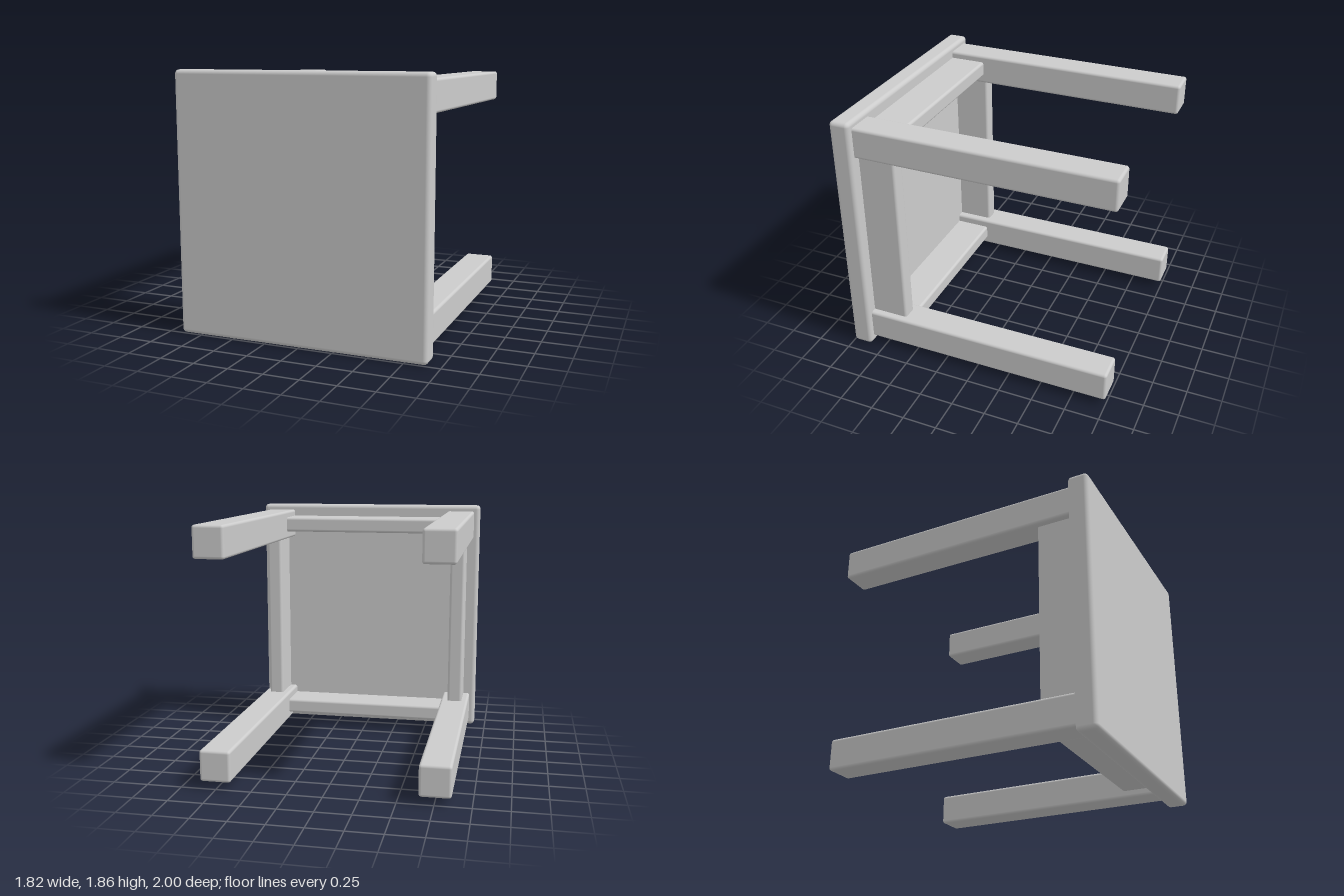
import * as THREE from 'three';
import { RoundedBoxGeometry } from 'three/addons/geometries/RoundedBoxGeometry.js';

const MID = 0.93; // height of the table's axis, which lies along z

export function createModel() {
  const model = new THREE.Group();
  const material = new THREE.MeshStandardMaterial({ color: 0xcccccc });

  // Soft-edged bar given by its extents, with y measured from the axis
  function bar(name, [x0, x1], [y0, y1], [z0, z1], radius) {
    const geometry = new RoundedBoxGeometry(x1 - x0, y1 - y0, z1 - z0, 4, radius);
    const mesh = new THREE.Mesh(geometry, material);
    mesh.name = name;
    mesh.position.set((x0 + x1) / 2, MID + (y0 + y1) / 2, (z0 + z1) / 2);
    model.add(mesh);
  }
  const mirrored = (side, a, b) => (side > 0 ? [a, b] : [-b, -a]);

  // Table top, standing on its edge and facing the front
  bar('tableTop', [-0.91, 0.91], [-0.93, 0.925], [0.85, 1], 0.03);

  for (const side of [-1, 1]) {
    // Legs pointing backwards from the four corners
    for (const level of [-1, 1]) {
      const name = (level > 0 ? 'upper' : 'lower') + (side > 0 ? 'Left' : 'Right') + 'Leg';
      bar(name, mirrored(side, 0.645, 0.865), mirrored(level, 0.655, 0.88), [-1, 0.9], 0.02);
    }
    // Apron rails between the legs, set in a little from their outer faces
    bar(side > 0 ? 'leftApron' : 'rightApron',
      mirrored(side, 0.7, 0.815), [-0.72, 0.72], [0.58, 0.9], 0.02);
    bar(side > 0 ? 'upperApron' : 'lowerApron',
      [-0.72, 0.72], mirrored(side, 0.715, 0.83), [0.58, 0.9], 0.02);
  }
  return model;
}
